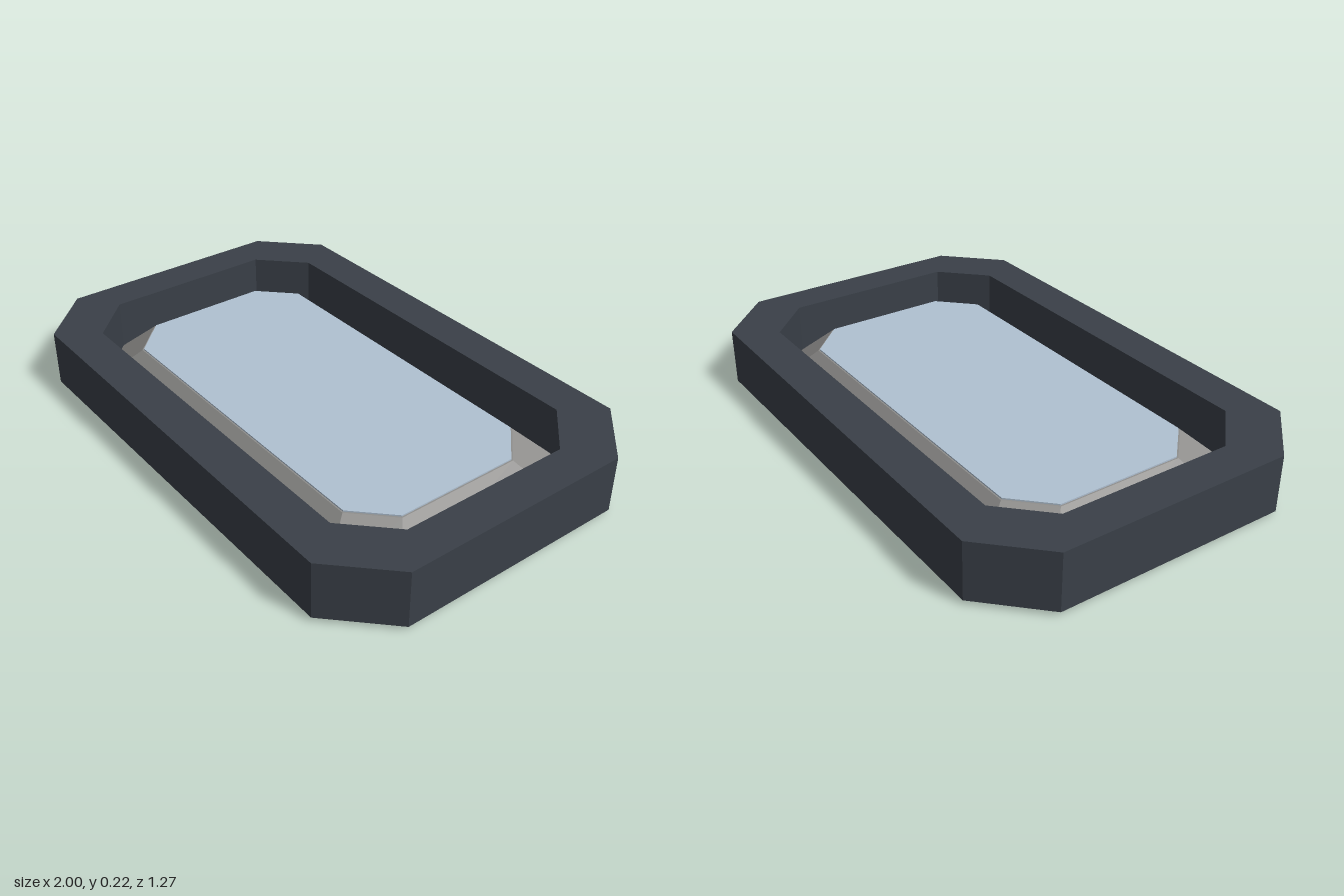
import * as THREE from 'three';

const mat = (name, color) => Object.assign(new THREE.MeshStandardMaterial({ color }), { name });

// Corners of a rectangle with cut corners, counter-clockwise from above
function octagon(hx, hz, cut) {
  const a = hx - cut, b = hz - cut;
  return [[hx, b], [hx, -b], [a, -hz], [-a, -hz], [-hx, -b], [-hx, b], [-a, hz], [a, hz]];
}

// Closed ring through octagonal sections [halfWidth, halfDepth, cut, y], listed up the outside and down the inside
function ring(sections) {
  const loops = sections.map(([hx, hz, cut, y]) => octagon(hx, hz, cut).map(([x, z]) => [x, y, z]));
  const pos = [];
  loops.forEach((lower, s) => {
    const upper = loops[(s + 1) % loops.length];
    for (let i = 0; i < 8; i++) {
      const j = (i + 1) % 8;
      pos.push(...lower[i], ...lower[j], ...upper[j], ...lower[i], ...upper[j], ...upper[i]);
    }
  });
  const geo = new THREE.BufferGeometry();
  geo.setAttribute('position', new THREE.Float32BufferAttribute(pos, 3));
  geo.computeVertexNormals();
  return geo;
}

// Flat octagonal slab
function slab(hx, hz, cut, y, depth) {
  const shape = new THREE.Shape(octagon(hx, hz, cut).map(([x, z]) => new THREE.Vector2(x, -z)));
  return new THREE.ExtrudeGeometry(shape, { depth, bevelEnabled: false }).rotateX(-Math.PI / 2).translate(0, y, 0);
}

export function createModel() {
  const group = new THREE.Group();
  const frameMat = mat('dark slate', 0x3a4048);
  const bezelMat = mat('warm grey', 0x8f8e8c);
  const glassMat = mat('pale blue', 0xb0c1d2);
  const add = (name, geo, material) => {
    const mesh = new THREE.Mesh(geo, material);
    mesh.name = name;
    group.add(mesh);
  };

  // Heavy outer frame with straight walls
  add('frame', ring([
    [1, 0.635, 0.2, 0.015], [1, 0.635, 0.2, 0.225],
    [0.855, 0.485, 0.16, 0.225], [0.855, 0.485, 0.16, 0.015],
  ]), frameMat);

  // Sloping shell that rises from a thin lip to the pane
  add('bezel', ring([
    [0.875, 0.51, 0.165, 0], [0.875, 0.51, 0.165, 0.02],
    [0.74, 0.37, 0.13, 0.15], [0.725, 0.355, 0.125, 0.15],
    [0.725, 0.355, 0.125, 0.13], [0.84, 0.475, 0.155, 0.018],
    [0.855, 0.49, 0.16, 0.018], [0.855, 0.49, 0.16, 0],
  ]), bezelMat);

  // Window pane
  add('pane', slab(0.735, 0.365, 0.128, 0.132, 0.023), glassMat);

  // Thin dark seam along the middle of the underside
  const seam = new THREE.BoxGeometry(1.45, 0.006, 0.016);
  add('seam', seam.translate(0, 0.13, 0), frameMat);

  return group;
}
